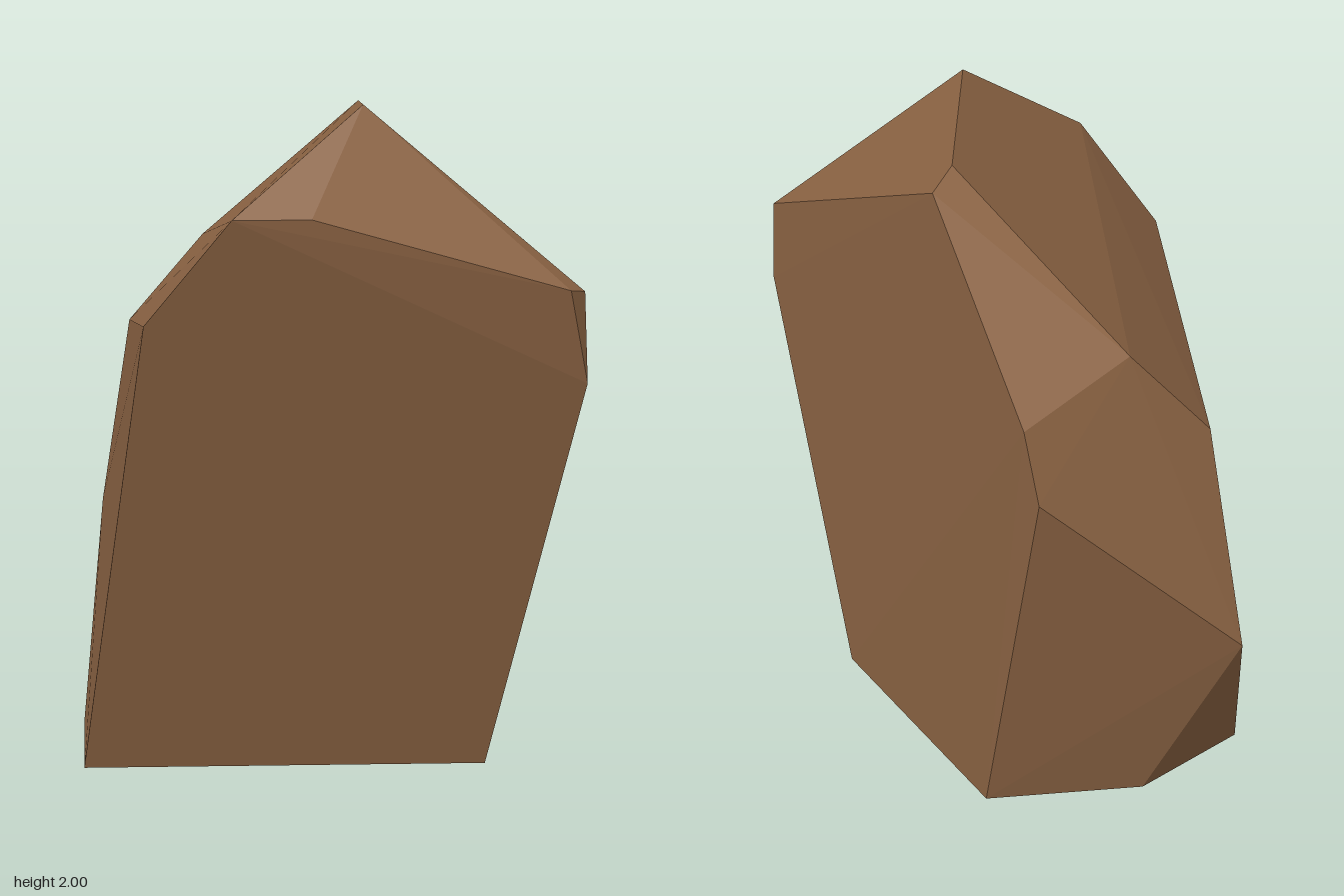
import * as THREE from 'three';
import { ConvexGeometry } from 'three/addons/geometries/ConvexGeometry.js';

// Corners of the faceted boulder, grouped by where they sit
const corners = {
  base: [[0.52, 0.01, 0.29], [0.2, 0.015, -0.485], [-0.28, 0.02, -0.525], [-0.63, 0.005, -0.32], [-0.67, 0, 0.06]],
  back: [[-0.515, 0.65, -0.69], [0.09, 1.23, -0.735], [0.12, 1.43, -0.675]],
  front: [[0.67, 1.25, 0.69], [0.655, 1.505, 0.69], [0.6, 1.515, 0.735], [-0.1, 1.715, 0.675], [-0.31, 1.715, 0.65], [-0.53, 1.42, 0.52]],
  crown: [[0.09, 2, 0.45], [0.22, 1.975, -0.16], [0.285, 1.93, -0.23], [-0.2, 1.54, -0.52], [-0.44, 1.275, -0.505]],
};

export function createModel() {
  const brownStone = new THREE.MeshStandardMaterial({ name: 'brownStone', color: 0x8b6343 });
  const points = Object.values(corners).flat().map((p) => new THREE.Vector3(...p));

  // One flat-faced stone spanning all corners
  const boulder = new THREE.Mesh(new ConvexGeometry(points), brownStone);
  boulder.name = 'boulder';

  const group = new THREE.Group();
  group.name = 'rock';
  group.add(boulder);
  return group;
}
